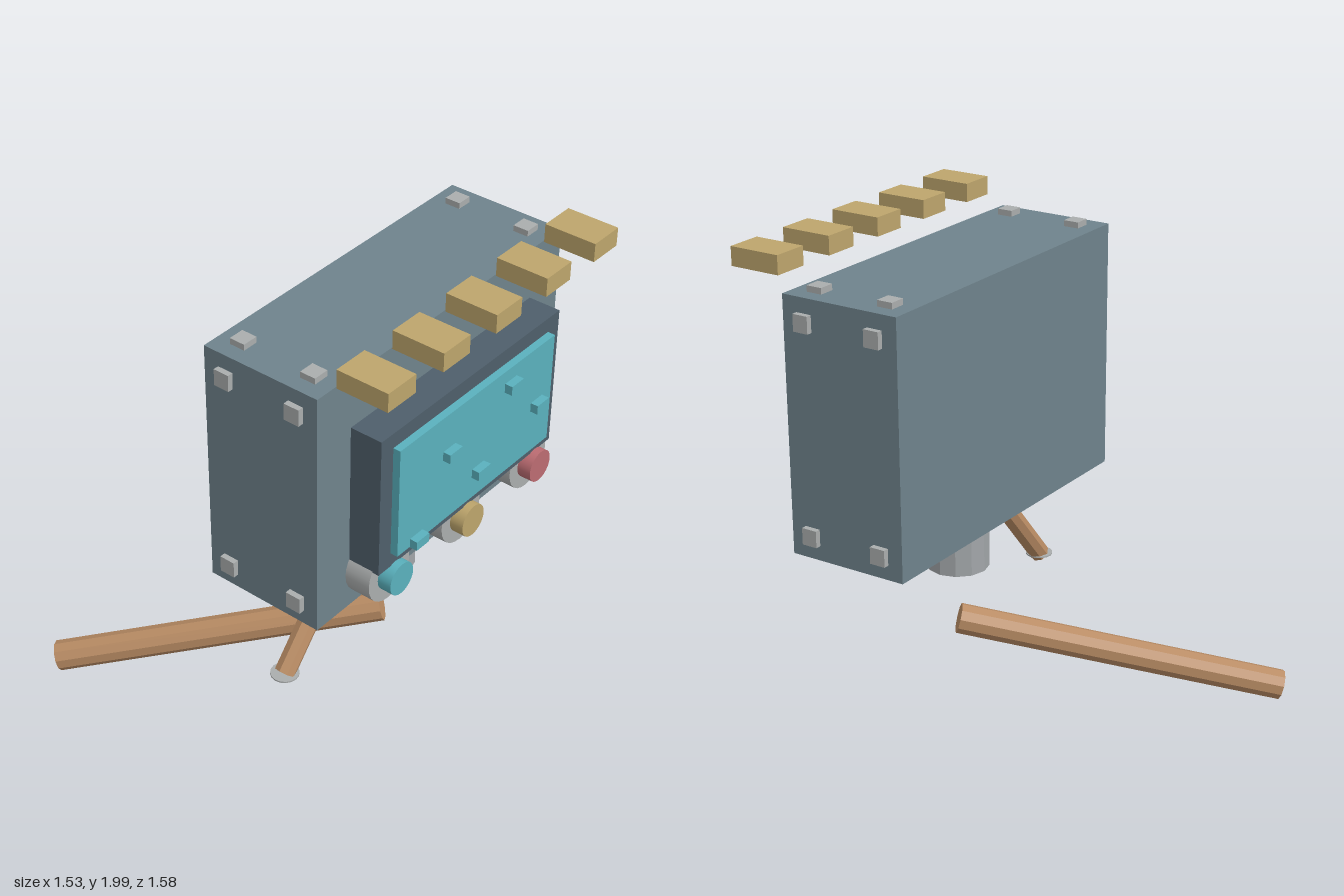
import * as THREE from 'three';

const mat = (name, color) => {
  const m = new THREE.MeshStandardMaterial({ color });
  m.name = name;
  return m;
};

export function createModel() {
  const root = new THREE.Group();
  const casing = mat('slate casing', 0x6f838c);
  const frame = mat('dark frame', 0x4f5f6b);
  const teal = mat('teal', 0x5ab1bd);
  const gold = mat('gold', 0xbda56c);
  const red = mat('red', 0xbc6c72);
  const lightGrey = mat('light grey', 0xaaadad);
  const steel = mat('steel', 0xa2a6a9);
  const wood = mat('wood', 0xb98c64);

  const add = (name, geo, material, x, y, z, parent = root) => {
    const mesh = new THREE.Mesh(geo, material);
    mesh.name = name;
    mesh.position.set(x, y, z);
    parent.add(mesh);
    return mesh;
  };
  const box = (name, w, h, d, material, x, y, z, parent) =>
    add(name, new THREE.BoxGeometry(w, h, d), material, x, y, z, parent);
  // Faceted cylinder
  const cyl = (r, h, sides) => {
    const g = new THREE.CylinderGeometry(r, r, h, sides).toNonIndexed();
    g.computeVertexNormals();
    return g;
  };
  // Faceted rod between two points
  const rod = (name, a, b, r, sides) => {
    const dir = b.clone().sub(a);
    const mid = a.clone().add(b).multiplyScalar(0.5);
    const mesh = add(name, cyl(r, dir.length(), sides), wood, mid.x, mid.y, mid.z);
    mesh.quaternion.setFromUnitVectors(new THREE.Vector3(0, 1, 0), dir.normalize());
  };
  const group = (name) => {
    const g = new THREE.Group();
    g.name = name;
    root.add(g);
    return g;
  };

  const cx = 0.05, cy = 1.385, cz = 0.285;

  // Casing and screen
  box('casing', 1.38, 0.99, 0.49, casing, cx, cy, cz);
  box('screenFrame', 1.03, 0.575, 0.13, frame, cx, 1.383, 0.595);
  box('screen', 0.9, 0.455, 0.03, teal, cx, 1.383, 0.675);
  const blips = group('screenBlips');
  [[0.235, 1.54], [-0.12, 1.447], [0.41, 1.36], [0.06, 1.265], [-0.295, 1.172]].forEach(([x, y]) =>
    box('blip', 0.07, 0.037, 0.032, teal, x, y, 0.705, blips));

  // Dials
  const dials = group('dials');
  [teal, gold, red].forEach((m, i) => {
    const x = cx + (i - 1) * 0.42;
    const base = new THREE.CylinderGeometry(0.115, 0.115, 0.105, 24).rotateX(Math.PI / 2);
    const cap = new THREE.CylinderGeometry(0.065, 0.065, 0.06, 24).rotateX(Math.PI / 2);
    add('dialBase', base, lightGrey, x, 1.037, 0.5815, dials);
    add('dialCap', cap, m, x, 1.037, 0.66, dials);
  });

  // Corner bolts on the sides, top and bottom
  const bolts = group('bolts');
  for (const s of [-1, 1]) {
    for (const t of [-1, 1]) {
      for (const z of [0.133, 0.438]) {
        box('sideBolt', 0.025, 0.065, 0.063, lightGrey, cx + s * 0.7, cy + t * 0.405, z, bolts);
        box('edgeBolt', 0.063, 0.025, 0.063, lightGrey, cx + s * 0.597, cy + t * 0.506, z, bolts);
      }
    }
  }

  // Floating blocks above the front edge
  const blocks = group('topBlocks');
  for (let i = -2; i <= 2; i++) box('block', 0.143, 0.073, 0.21, gold, cx + i * 0.29, 1.963, 0.682, blocks);

  // Neck below the casing
  add('neck', cyl(0.123, 0.25, 12), steel, cx, 0.765, cz);

  // Long rod
  rod('longRod', new THREE.Vector3(0.05, 0.405, 0.285), new THREE.Vector3(-0.715, 0.07, -0.755), 0.061, 10);

  // Short rod with a thin disc at each end
  const top = new THREE.Vector3(-0.272, 0.769, cz);
  const bottom = new THREE.Vector3(-0.532, 0.466, cz);
  rod('shortRod', top, bottom, 0.041, 8);
  for (const p of [top, bottom]) add('rodDisc', cyl(0.055, 0.006, 16), lightGrey, p.x, p.y, p.z);

  return root;
}
